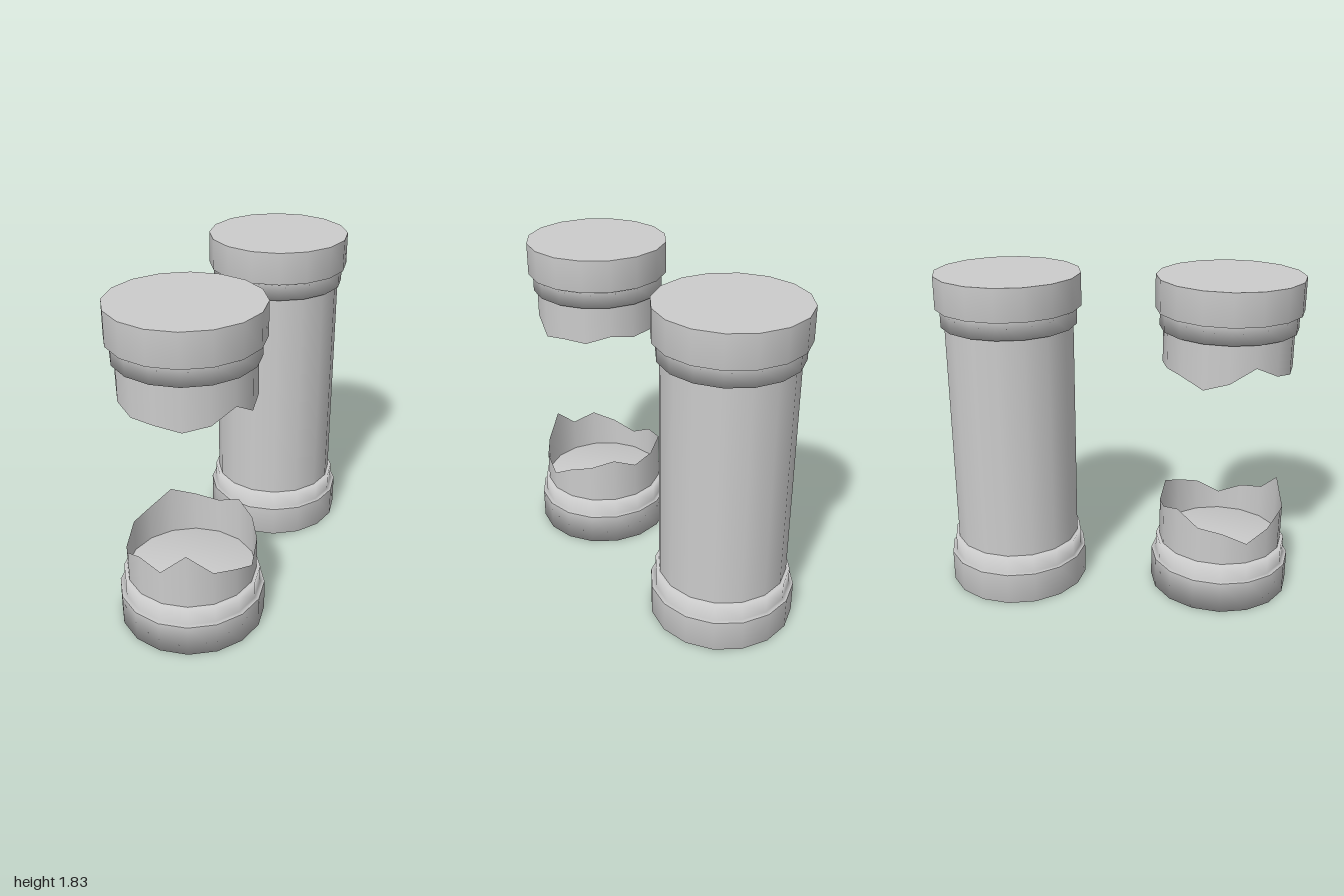
import * as THREE from 'three';

const SIDES = 16;
const SHAFT_R = 0.355, COLLAR_R = 0.375, CAP_R = 0.4;
const material = new THREE.MeshStandardMaterial({ color: 0xcccccc, side: THREE.DoubleSide });

// Turned part from [radius, height] pairs, listed from bottom to top
function turned(name, profile) {
  const points = profile.map(([r, y]) => new THREE.Vector2(r, y));
  const mesh = new THREE.Mesh(new THREE.LatheGeometry(points, SIDES), material);
  mesh.name = name;
  return mesh;
}

// Shaft wall whose lower or upper rim may follow a list of heights, one per side
function shaft(name, lower, upper) {
  const mesh = turned(name, [[SHAFT_R, 0], [SHAFT_R, 1]]);
  const pos = mesh.geometry.attributes.position;
  const height = (rim, i) => (Array.isArray(rim) ? rim[i % SIDES] : rim);
  for (let i = 0; i <= SIDES; i++) {
    pos.setY(i * 2, height(lower, i));
    pos.setY(i * 2 + 1, height(upper, i));
  }
  return mesh;
}

// Foot and collar; the hollow kind is open underneath up to the collar top
function base(hollow) {
  const group = new THREE.Group();
  group.name = 'base';
  group.add(
    turned('foot', [[hollow ? SHAFT_R : 0, 0], [CAP_R, 0], [CAP_R, 0.18]]),
    turned('baseCollar', [[CAP_R, 0.18], [COLLAR_R, 0.18], [COLLAR_R, 0.28], [0, 0.28]])
  );
  if (hollow) group.add(turned('baseInnerWall', [[SHAFT_R, 0], [SHAFT_R, 0.28]]));
  return group;
}

// Collar, crown and flat top
function capital() {
  const group = new THREE.Group();
  group.name = 'capital';
  group.add(
    turned('capitalCollar', [[0, 1.55], [COLLAR_R, 1.55], [COLLAR_R, 1.65]]),
    turned('crown', [[COLLAR_R, 1.65], [CAP_R, 1.65], [CAP_R, 1.83]]),
    turned('crownTop', [[CAP_R, 1.83], [0, 1.83]])
  );
  return group;
}

export function createModel() {
  const model = new THREE.Group();
  model.name = 'columns';

  // Whole column at the back
  const whole = new THREE.Group();
  whole.name = 'wholeColumn';
  whole.add(base(true), shaft('shaft', 0.28, 1.55), capital());
  whole.position.z = -0.6;

  // Broken column at the front: jagged stump below, jagged remnant above
  const stumpRim = [0.48, 0.6, 0.48, 0.45, 0.39, 0.47, 0.51, 0.555,
    0.495, 0.52, 0.565, 0.49, 0.47, 0.4, 0.46, 0.52];
  const remnantRim = [1.33, 1.305, 1.33, 1.395, 1.315, 1.34, 1.33, 1.37,
    1.345, 1.35, 1.345, 1.295, 1.34, 1.42, 1.355, 1.33];
  const broken = new THREE.Group();
  broken.name = 'brokenColumn';
  broken.add(
    base(false), shaft('brokenShaftLower', 0.28, stumpRim),
    shaft('brokenShaftUpper', remnantRim, 1.55), capital()
  );
  broken.position.z = 0.6;

  model.add(whole, broken);
  return model;
}
